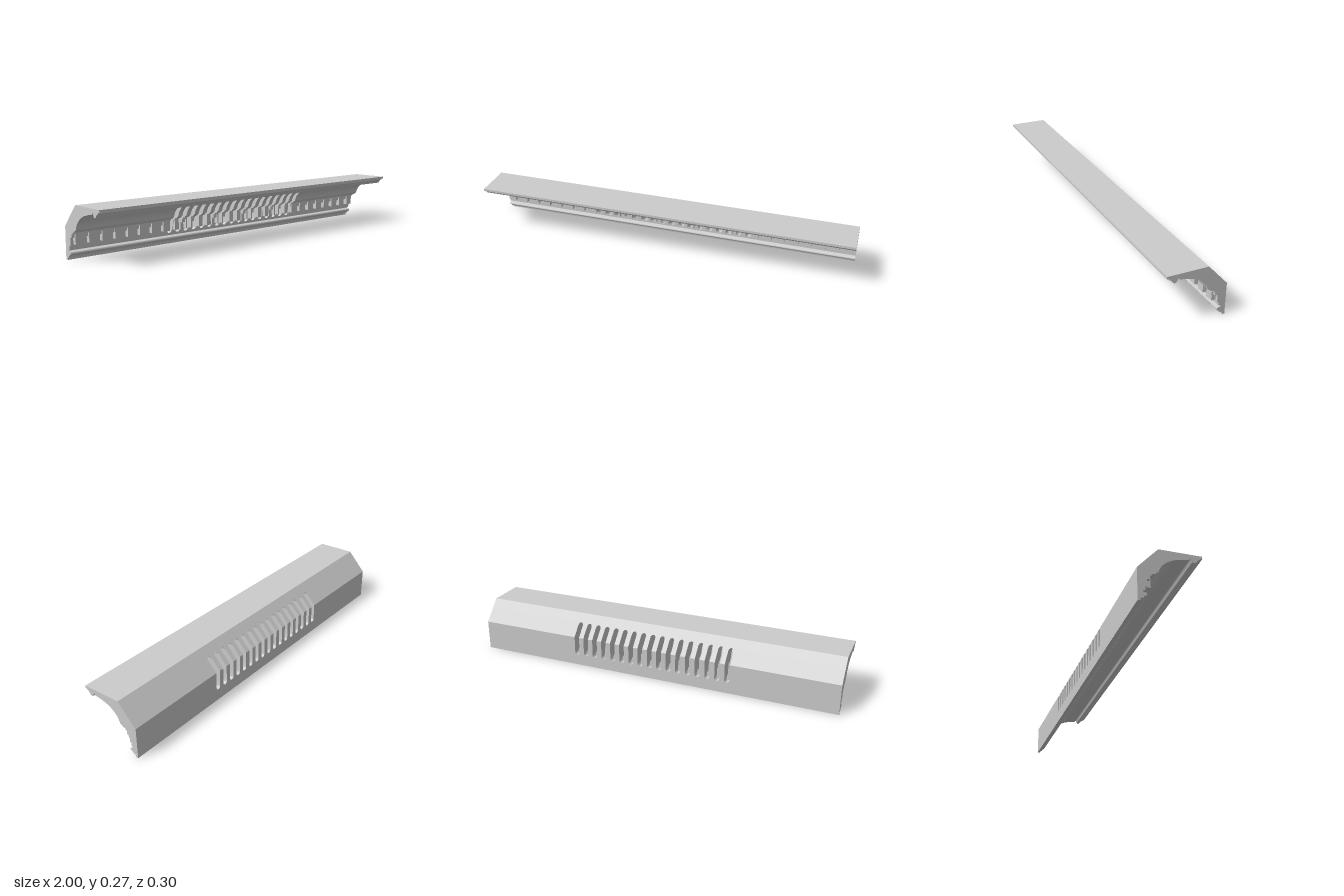
import * as THREE from 'three';
import { toCreasedNormals } from 'three/addons/utils/BufferGeometryUtils.js';

// Slot layout: a row of round-ended slots cut straight through from front to back
const SLOTS = 17, PITCH = 0.0535, R = 0.0135, LOW = 0.059, HIGH = 0.226;
const slotX = (i) => (i - (SLOTS - 1) / 2) * PITCH;

// Depth of the back: upright wall, then a sloped chamfer
const backZ = (y) => (y <= 0.16 ? -0.15 : -0.15 + (y - 0.16) * (0.098 / 0.107));

const spline = (pts, n) =>
  new THREE.SplineCurve(pts.map(([z, y]) => new THREE.Vector2(z, y))).getPoints(n).map((p) => [p.x, p.y]);

// Profile pieces as [z, y]
const cove = spline([[-0.055, 0.15], [-0.045, 0.174], [-0.03, 0.193], [-0.01, 0.209],
  [0.015, 0.222], [0.045, 0.231], [0.07, 0.236], [0.09, 0.238]], 28);
const steps = [[-0.115, LOW], [-0.115, 0.07], [-0.107, 0.07], [-0.107, 0.109], [-0.093, 0.109],
  [-0.093, 0.127], [-0.085, 0.127], [-0.085, 0.134], [-0.077, 0.137], [-0.069, 0.139], [-0.065, 0.145]];
const lowerBead = spline([[-0.123, 0.051], [-0.127, 0.046], [-0.121, 0.043], [-0.112, 0.041],
  [-0.107, 0.034], [-0.111, 0.027], [-0.121, 0.022], [-0.125, 0.013]], 24);
const upperBead = spline([[0.092, 0.244], [0.096, 0.248], [0.1, 0.242], [0.104, 0.231], [0.113, 0.2265],
  [0.121, 0.231], [0.128, 0.24], [0.135, 0.246], [0.143, 0.249]], 28);

// Depth of the front along a rising list of points
function depthAt(pts, y) {
  const k = Math.max(1, pts.findIndex((p) => p[1] >= y));
  const [a, b] = [pts[k - 1], pts[k]];
  return a[0] + (b[0] - a[0]) * (y - a[1]) / (b[1] - a[1] || 1);
}

const material = new THREE.MeshStandardMaterial({ color: 0xcccccc });

function addMesh(group, name, geometry) {
  const mesh = new THREE.Mesh(toCreasedNormals(geometry, 0.6), material);
  mesh.name = name;
  group.add(mesh);
  return mesh;
}

// Full-length strip from a closed [z, y] section
function strip(section) {
  const shape = new THREE.Shape(section.map(([z, y]) => new THREE.Vector2(-z, y)));
  return new THREE.ExtrudeGeometry(shape, { depth: 2, bevelEnabled: false })
    .rotateY(Math.PI / 2).translate(-1, 0, 0);
}

// Half width of a slot at a height
function slotHalf(y) {
  const d = Math.max(LOW + R - y, y - (HIGH - R), 0);
  return Math.sqrt(Math.max(0, R * R - d * d));
}

// Levels of the slotted band: profile corners, chamfer break and slot end rounding
function bandLevels() {
  const front = [...steps, ...cove];
  const levels = front.filter((p) => p[1] < HIGH);
  const extra = [0.16, HIGH];
  for (let i = 1; i <= 6; i++) {
    const rise = R * (1 - Math.cos((i / 6) * Math.PI / 2));
    extra.push(LOW + rise, HIGH - rise);
  }
  for (const y of extra) levels.push([depthAt(front, y), y]);
  return levels.sort((a, b) => a[1] - b[1]);
}

// Solid between two slots, lofted upward through rectangular sections
function pillar(levels, left, right) {
  const pos = [], index = [];
  levels.forEach(([z, y], i) => {
    const w = slotHalf(y);
    const xl = left === null ? -1 : left + w;
    const xr = right === null ? 1 : right - w;
    const b = backZ(y);
    pos.push(xl, y, z, xr, y, z, xr, y, b, xl, y, b);
    if (i === 0) return;
    for (let k = 0; k < 4; k++) {
      const a = (i - 1) * 4 + k, c = (i - 1) * 4 + (k + 1) % 4;
      index.push(a, c, c + 4, a, c + 4, a + 4);
    }
  });
  const g = new THREE.BufferGeometry();
  g.setAttribute('position', new THREE.Float32BufferAttribute(pos, 3));
  g.setIndex(index);
  g.computeVertexNormals();
  return g;
}

export function createModel() {
  const model = new THREE.Group();
  model.name = 'corniceMoulding';

  // Bottom strip with rounded bead
  addMesh(model, 'lowerMoulding', strip([[-0.15, 0], [-0.15, LOW], [-0.115, LOW], [-0.115, 0.051],
    ...lowerBead, [-0.136, 0.013], [-0.137, 0]]));

  // Top strip with hanging bead and outer lip
  addMesh(model, 'upperMoulding', strip([[backZ(HIGH), HIGH], [depthAt(cove, HIGH), HIGH],
    ...cove.filter((p) => p[1] > HIGH), ...upperBead,
    [0.143, 0.255], [0.152, 0.255], [0.152, 0.267], [-0.052, 0.267]]));

  // Middle band: pillars between slots, with long solid ends
  const band = new THREE.Group();
  band.name = 'slottedBand';
  model.add(band);
  const levels = bandLevels();
  for (let i = 0; i <= SLOTS; i++) {
    addMesh(band, 'bandPillar', pillar(levels, i ? slotX(i - 1) : null, i < SLOTS ? slotX(i) : null));
  }

  // Dentil row, trimmed wherever a slot passes
  const dentils = new THREE.Group();
  dentils.name = 'dentils';
  model.add(dentils);
  const count = 28, spacing = 2 / count, width = 0.041;
  for (let i = 0; i < count; i++) {
    const centre = -1 + (i + 0.5) * spacing;
    let pieces = [[centre - width / 2, centre + width / 2]];
    for (let s = 0; s < SLOTS; s++) {
      const a = slotX(s) - R, b = slotX(s) + R;
      pieces = pieces.flatMap(([l, r]) => [[l, Math.min(r, a)], [Math.max(l, b), r]])
        .filter(([l, r]) => r - l > 0.0005);
    }
    for (const [l, r] of pieces) {
      const dentil = addMesh(dentils, 'dentil', new THREE.BoxGeometry(r - l, 0.05, 0.023));
      dentil.position.set((l + r) / 2, 0.102, -0.0965);
    }
  }
  return model;
}
